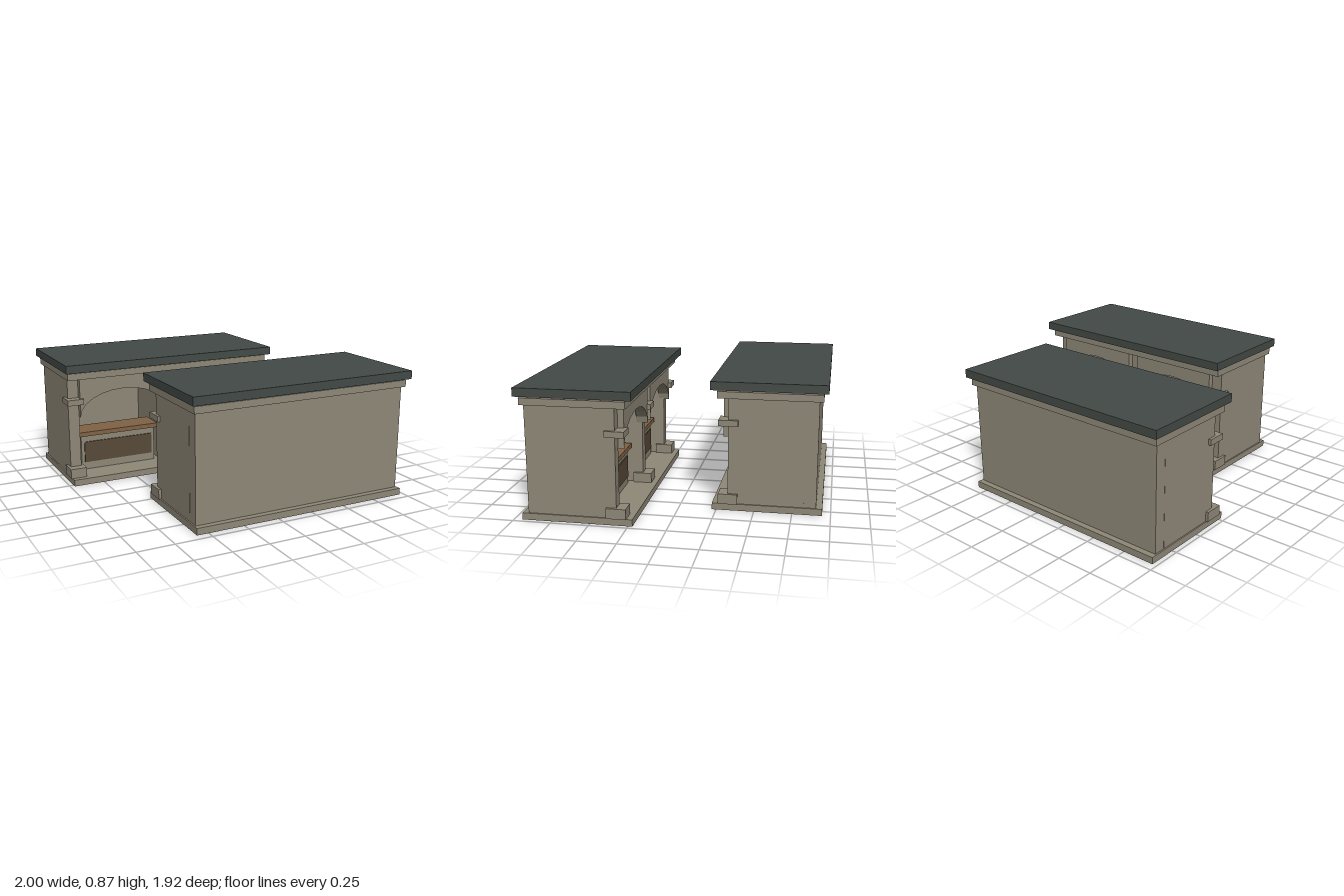
import * as THREE from 'three';

const stone = new THREE.MeshStandardMaterial({ color: 0x8f8878 });
stone.name = 'stone';
const slate = new THREE.MeshStandardMaterial({ color: 0x434a46 });
slate.name = 'slate';
const wood = new THREE.MeshStandardMaterial({ color: 0x806345 });
wood.name = 'wood';
const darkWood = new THREE.MeshStandardMaterial({ color: 0x574937 });
darkWood.name = 'dark wood';

// Box from its half width about x, and its y and z ranges
function addBox(group, name, material, x, halfWidth, y0, y1, z0, z1) {
  const mesh = new THREE.Mesh(
    new THREE.BoxGeometry(halfWidth * 2, y1 - y0, z1 - z0), material);
  mesh.name = name;
  mesh.position.set(x, (y0 + y1) / 2, (z0 + z1) / 2);
  group.add(mesh);
}

// Wall panel above a low elliptical arch, standing proud of the piers
function addArch(group, x) {
  const rx = 0.325, ry = 0.178, spring = 0.48, top = 0.757, segments = 12;
  const shape = new THREE.Shape();
  shape.moveTo(rx, top);
  shape.lineTo(-rx, top);
  for (let i = 0; i <= segments; i++) {
    const a = Math.PI * (1 - i / segments);
    shape.lineTo(rx * Math.cos(a), spring + ry * Math.sin(a));
  }
  shape.closePath();
  const geometry = new THREE.ExtrudeGeometry(shape, { depth: 0.08, bevelEnabled: false });
  const mesh = new THREE.Mesh(geometry, stone);
  mesh.name = 'archPanel';
  mesh.position.set(x, 0, -0.365);
  group.add(mesh);
}

// One open-fronted pavilion with two arched bays, facing +z
function createPavilion() {
  const g = new THREE.Group();
  g.name = 'pavilion';
  const cx = -0.195;

  // Base, cornice and floating roof slab
  addBox(g, 'base', stone, cx, 0.775, 0, 0.045, -0.945, -0.222);
  addBox(g, 'cornice', stone, cx, 0.782, 0.757, 0.803, -0.93, -0.252);
  addBox(g, 'roof', slate, cx, 0.803, 0.814, 0.87, -0.96, -0.21);

  // Back wall, and side and dividing walls ending in piers
  addBox(g, 'backWall', stone, cx, 0.765, 0.045, 0.757, -0.905, -0.825);
  for (const dx of [-0.727, 0, 0.727]) {
    const x = cx + dx;
    addBox(g, 'pierWall', stone, x, 0.039, 0.045, 0.757, -0.825, -0.325);
    addBox(g, 'plinth', stone, x, 0.058, 0.045, 0.113, -0.39, -0.262);
    addBox(g, 'capital', stone, x, 0.058, 0.575, 0.615, -0.39, -0.262);
  }

  // Arches and counters
  for (const dx of [-0.365, 0.365]) {
    const x = cx + dx;
    addArch(g, x);
    addBox(g, 'counterBase', stone, x, 0.285, 0.045, 0.3, -0.58, -0.425);
    addBox(g, 'counterTop', wood, x, 0.305, 0.3, 0.332, -0.6, -0.4);
    addBox(g, 'counterPanel', darkWood, x, 0.262, 0.1, 0.253, -0.425, -0.417);
  }
  return g;
}

export function createModel() {
  const model = new THREE.Group();
  model.name = 'facingPavilions';
  // Two pavilions facing each other, offset along x
  for (let i = 0; i < 2; i++) {
    const pavilion = createPavilion();
    pavilion.name = i ? 'frontPavilion' : 'backPavilion';
    pavilion.rotation.y = i * Math.PI;
    model.add(pavilion);
  }
  return model;
}
